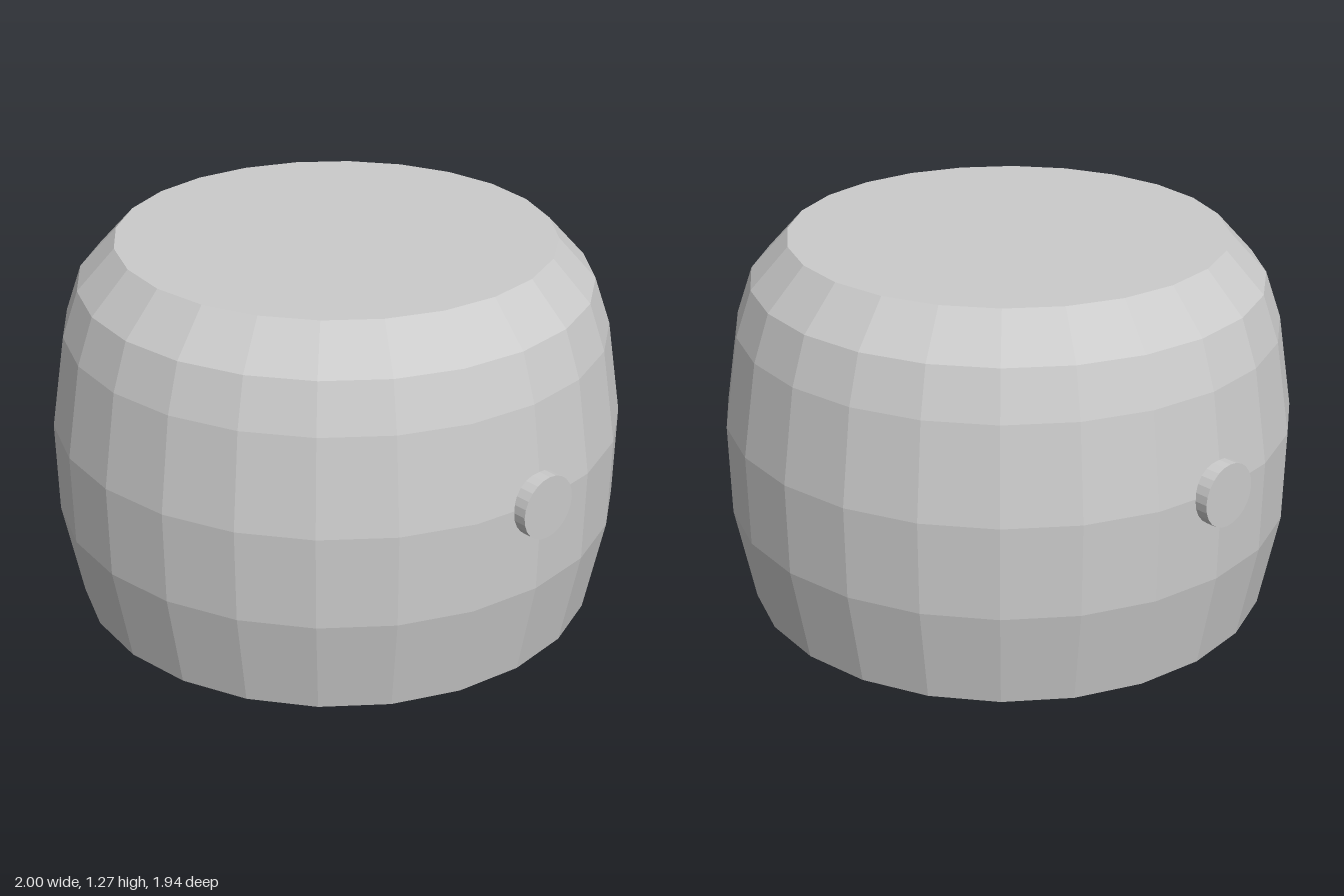
import * as THREE from 'three';

const SIDES = 24;

export function createModel() {
  const model = new THREE.Group();
  const material = new THREE.MeshStandardMaterial({ color: 0xcccccc, flatShading: true });

  // Bulging faceted body, turned from the recessed underside round to the flat top
  const profile = [
    [0, 0.075], [0.885, 0.075], [0.873, 0], // recessed floor and rim
    [0.9, 0], [0.965, 0.335], [0.97, 0.65], [0.92, 0.97], [0.865, 1.13], // bulging wall
    [0.737, 1.27], [0, 1.27], // flat top
  ].map(([r, y]) => new THREE.Vector2(r, y));
  const body = new THREE.Mesh(new THREE.LatheGeometry(profile, SIDES), material);
  body.name = 'body';
  model.add(body);

  // Short round stud on each side
  for (const [name, side] of [['leftStud', 1], ['rightStud', -1]]) {
    const stud = new THREE.Mesh(new THREE.CylinderGeometry(0.107, 0.107, 0.08, SIDES), material);
    stud.name = name;
    stud.rotation.z = -side * Math.PI / 2;
    stud.position.set(side * 0.96, 0.643, 0);
    model.add(stud);
  }

  return model;
}
